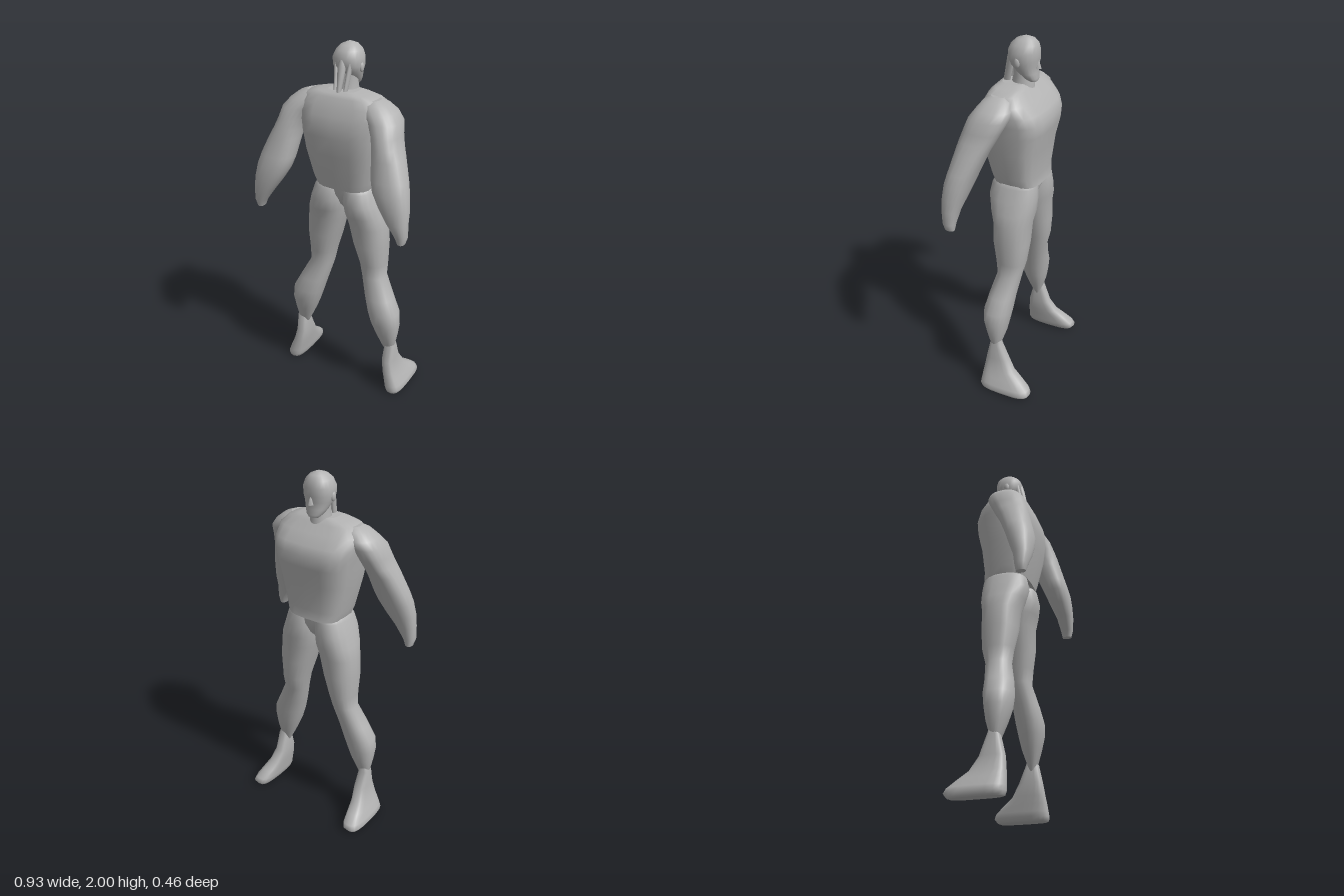
import * as THREE from 'three';

const SIDES = 20;

// Loft through level rings, listed from top to bottom: [y, xMin, xMax, zMin, zMax].
// n is the squareness of the rings: 2 is an ellipse, more is boxier.
function loft(rows, n = 2) {
  const pos = [], index = [];
  const bend = (v) => Math.sign(v) * Math.abs(v) ** (2 / n);
  const ring = ([y, x0, x1, z0, z1]) => {
    for (let i = 0; i < SIDES; i++) {
      const a = (i / SIDES) * Math.PI * 2;
      pos.push((x0 + x1) / 2 + bend(Math.cos(a)) * (x1 - x0) / 2, y,
        (z0 + z1) / 2 + bend(Math.sin(a)) * (z1 - z0) / 2);
    }
  };
  rows.forEach(ring);
  for (let r = 0; r < rows.length - 1; r++) {
    for (let i = 0; i < SIDES; i++) {
      const j = (i + 1) % SIDES;
      const a = r * SIDES + i, b = r * SIDES + j;
      index.push(a, b, b + SIDES, a, b + SIDES, a + SIDES);
    }
  }
  // End caps have their own vertices so the rims stay crisp
  for (const [row, top] of [[rows[0], true], [rows[rows.length - 1], false]]) {
    const base = pos.length / 3;
    ring(row);
    pos.push((row[1] + row[2]) / 2, row[0], (row[3] + row[4]) / 2);
    for (let i = 0; i < SIDES; i++) {
      const a = base + i, b = base + (i + 1) % SIDES;
      index.push(base + SIDES, top ? b : a, top ? a : b);
    }
  }
  const g = new THREE.BufferGeometry();
  g.setAttribute('position', new THREE.Float32BufferAttribute(pos, 3));
  g.setIndex(index);
  g.computeVertexNormals();
  return g;
}

// Rows for a centred part: [y, halfWidth, zMin, zMax]
const centred = (rows) => rows.map(([y, w, z0, z1]) => [y, -w, w, z0, z1]);
const mirrored = (rows) => rows.map(([y, x0, x1, z0, z1]) => [y, -x1, -x0, z0, z1]);

export function createModel() {
  const model = new THREE.Group();
  model.name = 'figure';
  const grey = new THREE.MeshStandardMaterial({ color: 0xb2b2b2 });
  grey.name = 'plain grey';

  const add = (name, geometry) => {
    const mesh = new THREE.Mesh(geometry, grey);
    mesh.name = name;
    model.add(mesh);
    return mesh;
  };
  const pair = (name, rows, n) => {
    add(name + 'Left', loft(rows, n));
    add(name + 'Right', loft(mirrored(rows), n));
  };

  // Torso: broad chest tapering to a flat waist
  add('torso', loft(centred([
    [1.775, 0.08, -0.05, 0.07],
    [1.765, 0.14, -0.065, 0.09],
    [1.75, 0.2, -0.08, 0.105],
    [1.71, 0.24, -0.12, 0.125],
    [1.66, 0.24, -0.17, 0.145],
    [1.61, 0.23, -0.19, 0.155],
    [1.55, 0.222, -0.187, 0.157],
    [1.45, 0.206, -0.165, 0.145],
    [1.3, 0.175, -0.15, 0.112],
    [1.25, 0.158, -0.157, 0.1],
  ]), 3.2));

  // Pelvis filling the gap between the hips
  add('pelvis', loft(centred([
    [1.255, 0.13, -0.13, 0.08],
    [1.2, 0.09, -0.125, 0.07],
    [1.14, 0.035, -0.1, 0.04],
    [1.1, 0.008, -0.06, 0.0],
  ]), 2.5));

  // Arms hang out and back from the shoulders, ending in blunt tips
  pair('arm', [
    [1.752, 0.14, 0.21, -0.02, 0.06],
    [1.735, 0.11, 0.255, -0.05, 0.09],
    [1.7, 0.13, 0.3, -0.07, 0.115],
    [1.66, 0.17, 0.333, -0.065, 0.14],
    [1.6, 0.2, 0.347, -0.035, 0.16],
    [1.55, 0.215, 0.365, -0.01, 0.175],
    [1.5, 0.222, 0.39, 0.018, 0.187],
    [1.4, 0.235, 0.43, 0.06, 0.212],
    [1.34, 0.253, 0.447, 0.083, 0.226],
    [1.27, 0.295, 0.459, 0.108, 0.23],
    [1.2, 0.345, 0.461, 0.135, 0.228],
    [1.13, 0.395, 0.463, 0.148, 0.217],
    [1.09, 0.413, 0.45, 0.155, 0.207],
  ], 2.3);

  // Legs: hip, thigh, knee and a bulging calf drawn to a point
  pair('leg', [
    [1.257, 0.01, 0.16, -0.135, 0.085],
    [1.24, 0.004, 0.173, -0.145, 0.1],
    [1.17, 0.001, 0.197, -0.15, 0.112],
    [1.1, 0.005, 0.222, -0.147, 0.095],
    [1.03, 0.022, 0.237, -0.132, 0.072],
    [0.92, 0.05, 0.242, -0.13, 0.068],
    [0.8, 0.088, 0.237, -0.118, 0.048],
    [0.72, 0.102, 0.237, -0.097, 0.038],
    [0.6, 0.135, 0.3, -0.08, 0.066],
    [0.52, 0.158, 0.341, -0.074, 0.08],
    [0.45, 0.18, 0.348, -0.063, 0.076],
    [0.38, 0.208, 0.339, -0.05, 0.058],
    [0.3, 0.245, 0.325, -0.025, 0.032],
    [0.26, 0.265, 0.3, -0.01, 0.012],
  ], 2.3);

  // Feet: slim ankles rising inside the calf, long toes at the front
  pair('foot', [
    [0.37, 0.285, 0.302, -0.018, 0.0],
    [0.3, 0.268, 0.33, -0.035, 0.032],
    [0.2, 0.26, 0.332, -0.075, 0.055],
    [0.13, 0.268, 0.352, -0.118, 0.064],
    [0.09, 0.274, 0.37, -0.17, 0.069],
    [0.05, 0.279, 0.389, -0.218, 0.073],
    [0.025, 0.283, 0.398, -0.23, 0.075],
    [0.005, 0.295, 0.388, -0.215, 0.07],
    [0, 0.31, 0.38, -0.2, 0.06],
  ], 3);

  // Neck
  add('neck', loft(centred([
    [1.87, 0.05, -0.07, 0.025],
    [1.8, 0.05, -0.078, 0.025],
    [1.74, 0.06, -0.085, 0.04],
  ])));

  // Head: domed crown narrowing to a square chin
  add('head', loft(centred([
    [2, 0.014, -0.055, -0.025],
    [1.988, 0.042, -0.085, 0.008],
    [1.965, 0.065, -0.103, 0.034],
    [1.93, 0.08, -0.11, 0.049],
    [1.89, 0.08, -0.109, 0.045],
    [1.86, 0.071, -0.102, 0.03],
    [1.825, 0.059, -0.102, -0.005],
    [1.798, 0.044, -0.107, -0.035],
    [1.783, 0.028, -0.102, -0.06],
  ]), 2.2));

  // Nose
  const nose = add('nose', new THREE.ConeGeometry(0.017, 0.055, 4));
  nose.position.set(0, 1.875, -0.105);

  // Ears
  for (const s of [1, -1]) {
    const ear = add(s > 0 ? 'earLeft' : 'earRight', new THREE.SphereGeometry(1, 10, 8));
    ear.scale.set(0.01, 0.025, 0.016);
    ear.position.set(s * 0.076, 1.885, -0.025);
  }

  // Hair gathered into a tail with a lock on each side
  add('hairTail', loft(centred([
    [1.93, 0.012, 0.02, 0.048],
    [1.89, 0.022, 0.02, 0.06],
    [1.83, 0.016, 0.035, 0.071],
    [1.765, 0.01, 0.055, 0.083],
  ])));
  pair('hairLock', [
    [1.91, 0.03, 0.05, 0.005, 0.038],
    [1.85, 0.022, 0.045, 0.015, 0.05],
    [1.765, 0.02, 0.036, 0.035, 0.07],
  ]);

  return model;
}
